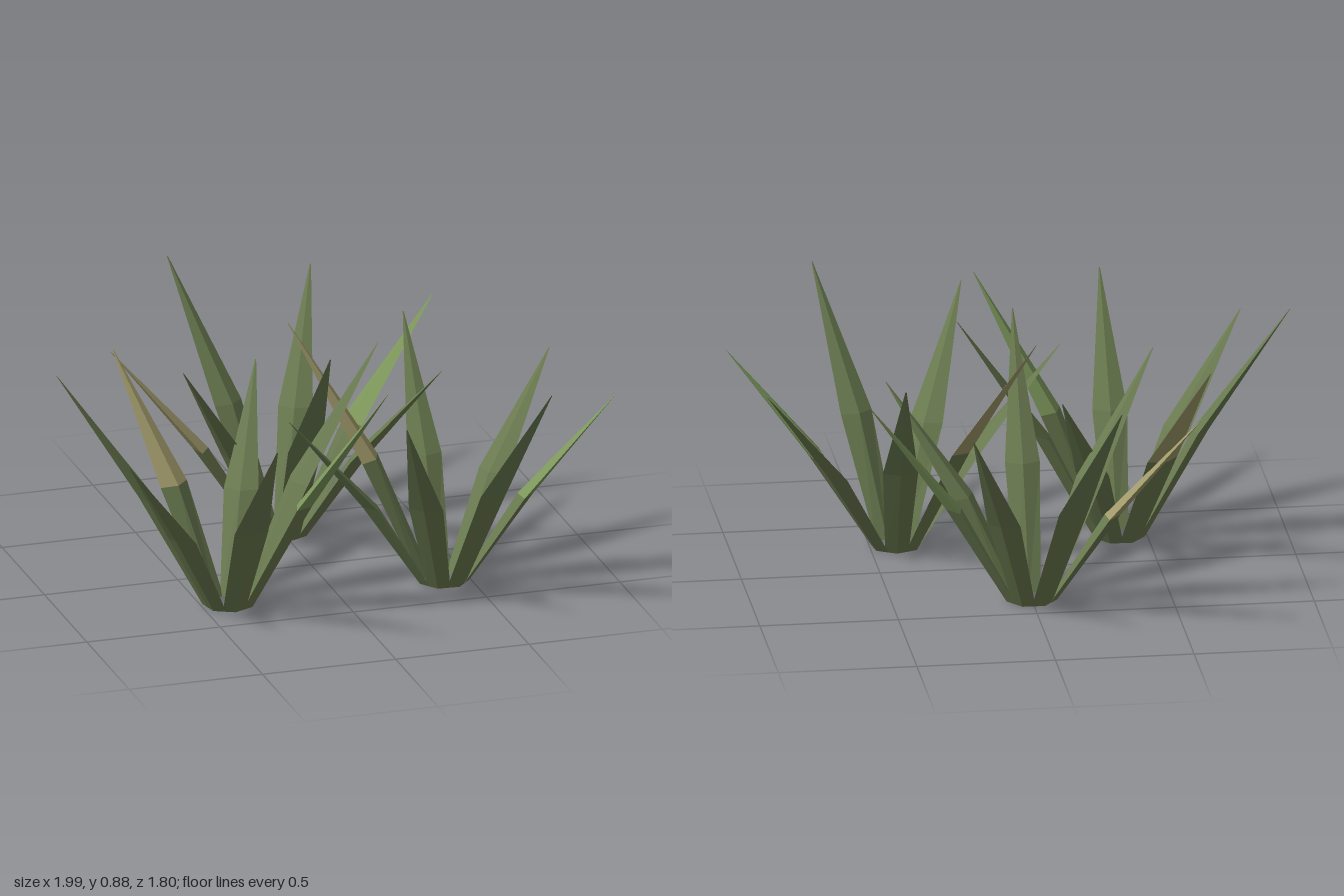
import * as THREE from 'three';

const paint = (color) => new THREE.MeshStandardMaterial({ color, flatShading: true, roughness: 0.9 });

// Diamond cross-section: inner ridge, side, outer ridge, side. The leaf leans along +x.
const ring = ({ r, y, halfWidth, inner, outer }) => [
  [r - inner, y, 0], [r, y, halfWidth], [r + outer, y, 0], [r, y, -halfWidth],
];

// Skin two rings, and close the lower one when asked
function loft(lo, hi, capBottom) {
  const pos = [];
  const tri = (a, b, c) => pos.push(...a, ...b, ...c);
  for (let i = 0; i < 4; i++) {
    const j = (i + 1) % 4;
    tri(lo[i], hi[j], hi[i]);
    tri(lo[i], lo[j], hi[j]);
  }
  if (capBottom) {
    tri(lo[0], lo[2], lo[1]);
    tri(lo[0], lo[3], lo[2]);
  }
  const geo = new THREE.BufferGeometry();
  geo.setAttribute('position', new THREE.Float32BufferAttribute(pos, 3));
  geo.computeVertexNormals();
  return geo;
}

function makeLeaf(height, bodyMat, tipMat) {
  const base = ring({ r: 0.073, y: 0, halfWidth: 0.042, inner: 0.01, outer: 0.02 });
  const middle = ring({ r: 0.29, y: height * 0.47, halfWidth: 0.063, inner: 0.025, outer: 0.032 });
  const point = ring({ r: 0.615, y: height, halfWidth: 0.002, inner: 0.001, outer: 0.001 });

  const leaf = new THREE.Group();
  leaf.name = 'leaf';
  const lower = new THREE.Mesh(loft(base, middle, true), bodyMat);
  lower.name = 'leafBase';
  const upper = new THREE.Mesh(loft(middle, point, false), tipMat);
  upper.name = 'leafTip';
  leaf.add(lower, upper);
  return leaf;
}

export function createModel() {
  const model = new THREE.Group();
  model.name = 'spikyPlants';

  const green = paint(0x69794f);
  const fresh = paint(0x7b965a);
  const dry = paint(0xa0996a);

  const heights = [0.885, 0.8, 0.705];
  const count = 7;
  // Position and starting angle of each rosette
  const clumps = [
    { name: 'rightClump', x: -0.4, z: 0.283, start: 39.6 },
    { name: 'backClump', x: 0, z: -0.34, start: -11.5 },
    { name: 'leftClump', x: 0.405, z: 0.287, start: 17 },
  ];

  clumps.forEach(({ name, x, z, start }, c) => {
    const clump = new THREE.Group();
    clump.name = name;
    clump.position.set(x, 0, z);
    for (let i = 0; i < count; i++) {
      // One fresh and one dried tip in every rosette
      const tip = i === 0 ? fresh : i === 4 ? dry : green;
      const leaf = makeLeaf(heights[(i + c) % 3], green, tip);
      leaf.rotation.y = -THREE.MathUtils.degToRad(start + (i * 360) / count);
      clump.add(leaf);
    }
    model.add(clump);
  });
  return model;
}
